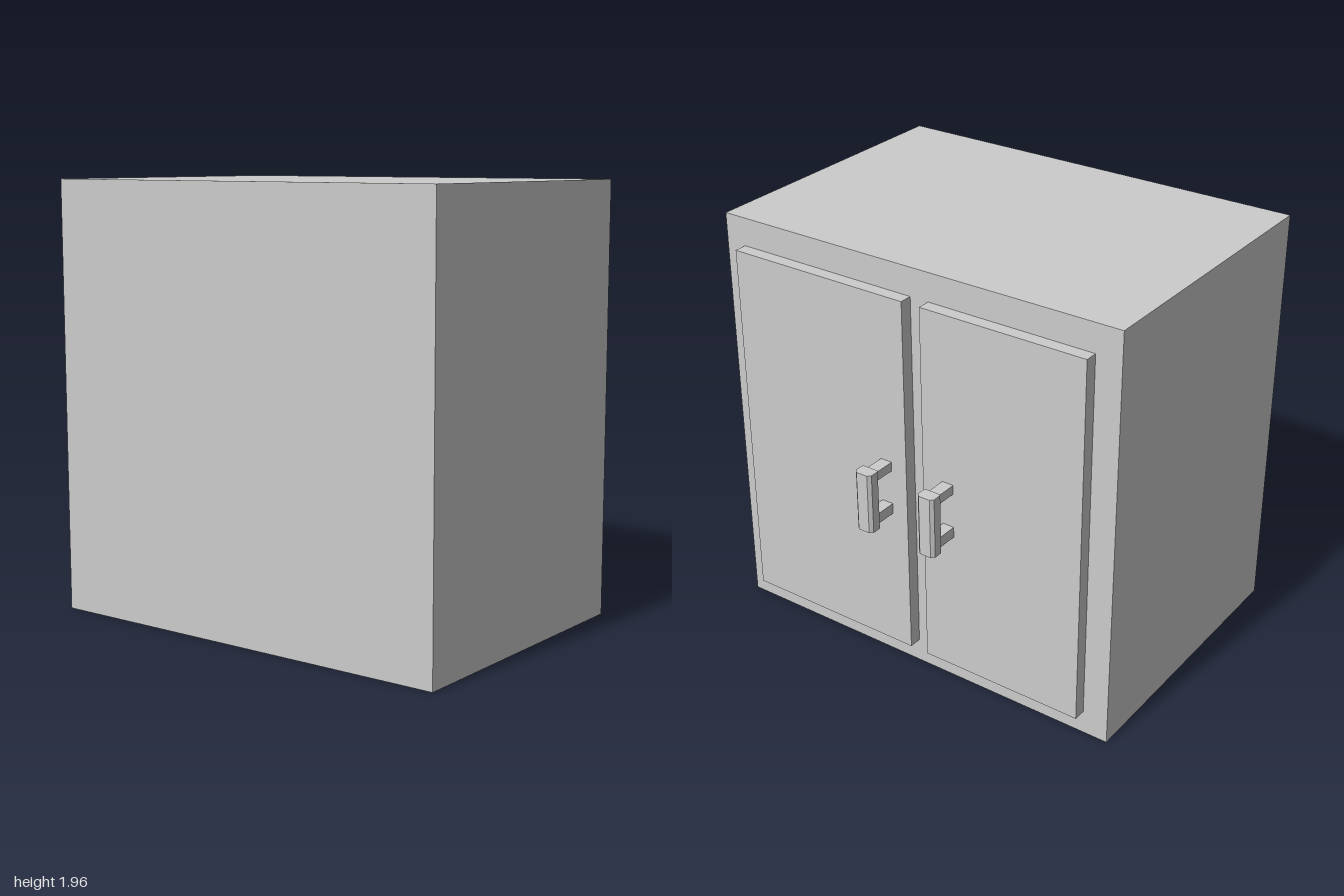
import * as THREE from 'three';

const material = new THREE.MeshStandardMaterial({ color: 0xcccccc, flatShading: true });

// Box given by its lower and upper limits on each axis
function addBox(parent, name, [x0, x1], [y0, y1], [z0, z1]) {
  const mesh = new THREE.Mesh(new THREE.BoxGeometry(x1 - x0, y1 - y0, z1 - z0), material);
  mesh.position.set((x0 + x1) / 2, (y0 + y1) / 2, (z0 + z1) / 2);
  mesh.name = name;
  parent.add(mesh);
}

// Upright grip with chamfered corners, carried on two posts
function createHandle(name, gripZ, postZ) {
  const handle = new THREE.Group();
  handle.name = name;
  addBox(handle, 'lowerPost', [0.63, 0.74], [0.795, 0.845], [postZ - 0.028, postZ + 0.028]);
  addBox(handle, 'upperPost', [0.63, 0.74], [1.01, 1.053], [postZ - 0.028, postZ + 0.028]);

  const x0 = 0.735, x1 = 0.797, w = 0.042, outer = 0.014, inner = 0.006;
  const section = new THREE.Shape([
    [x0 + inner, -w], [x1 - outer, -w], [x1, -w + outer], [x1, w - outer],
    [x1 - outer, w], [x0 + inner, w], [x0, w - inner], [x0, -w + inner],
  ].map(([x, y]) => new THREE.Vector2(x, y)));
  const geometry = new THREE.ExtrudeGeometry(section, { depth: 0.285, bevelEnabled: false });
  geometry.rotateX(-Math.PI / 2);
  const grip = new THREE.Mesh(geometry, material);
  grip.name = 'grip';
  grip.position.set(0, 0.777, gripZ);
  handle.add(grip);
  return handle;
}

export function createModel() {
  const cabinet = new THREE.Group();
  cabinet.name = 'cabinet';

  // Body, with both doors on the +x side
  addBox(cabinet, 'body', [-0.797, 0.575], [0, 1.96], [-1, 1]);
  addBox(cabinet, 'wideDoor', [0.57, 0.635], [0.112, 1.83], [0.002, 0.9]);
  addBox(cabinet, 'narrowDoor', [0.57, 0.635], [0.112, 1.83], [-0.88, -0.088]);

  // Handles beside the gap between the doors
  cabinet.add(createHandle('wideDoorHandle', 0.113, 0.109));
  cabinet.add(createHandle('narrowDoorHandle', -0.216, -0.218));
  return cabinet;
}
